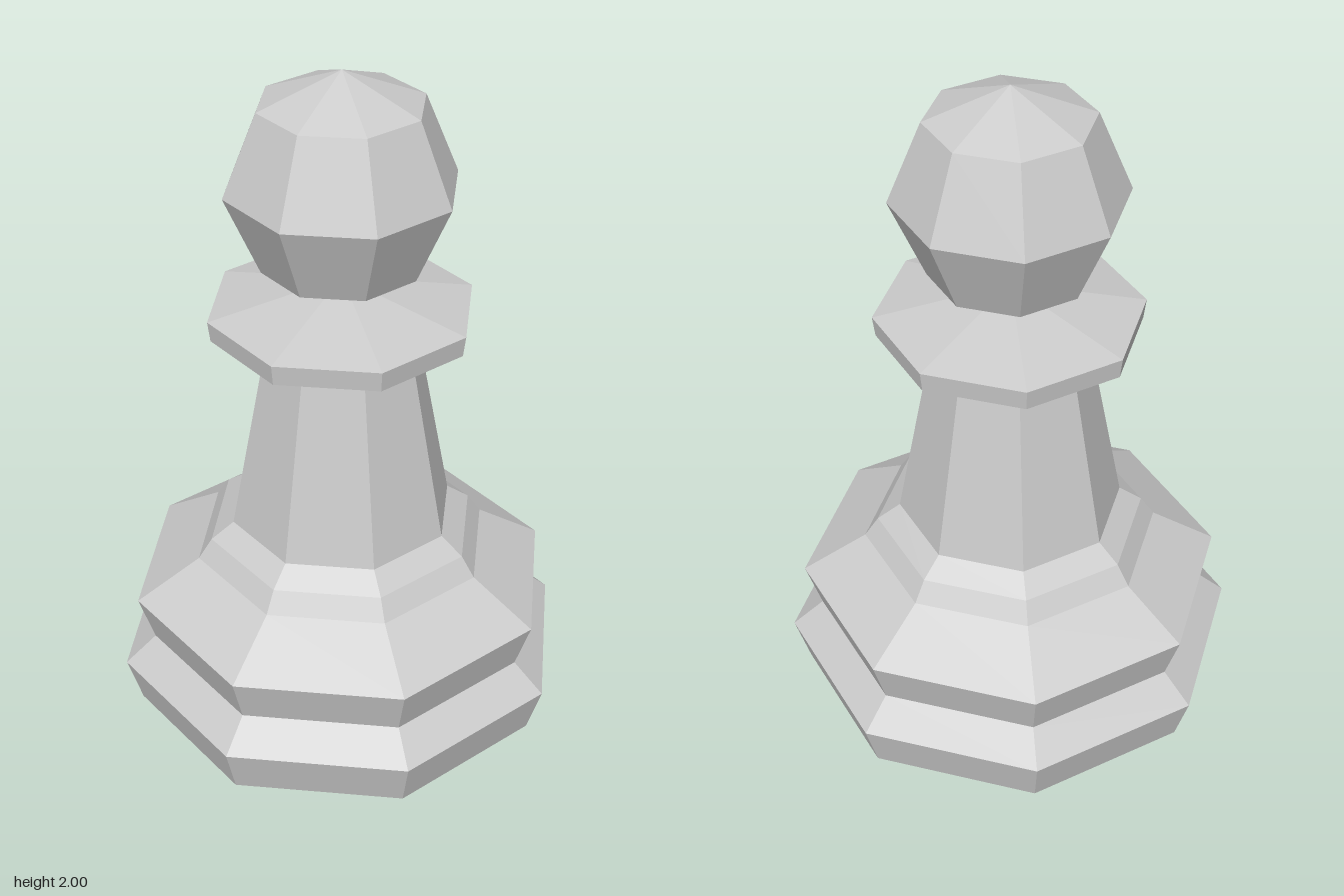
import * as THREE from 'three';

const SIDES = 8;
const material = new THREE.MeshStandardMaterial({ color: 0xcccccc, flatShading: true });

// Octagonal turned part; profile is [distance to flat side, height], bottom to top.
function turned(name, profile) {
  const toCorner = 1 / Math.cos(Math.PI / SIDES);
  const points = profile.map(([r, y]) => new THREE.Vector2(r * toCorner, y));
  const mesh = new THREE.Mesh(new THREE.LatheGeometry(points, SIDES, Math.PI / SIDES), material);
  mesh.name = name;
  return mesh;
}

export function createModel() {
  const pawn = new THREE.Group();
  pawn.name = 'pawn';
  pawn.add(
    // Two flared steps, closed underneath
    turned('base', [[0, 0], [0.592, 0], [0.632, 0.148], [0.545, 0.232], [0.587, 0.377], [0.41, 0.498]]),
    // Small bevelled ring under the shaft
    turned('shaftFoot', [[0.41, 0.498], [0.372, 0.56], [0.309, 0.61]]),
    turned('shaft', [[0.309, 0.61], [0.208, 1.187]]),
    // Thin disc sloping up to the narrow neck
    turned('collar', [[0.208, 1.187], [0.35, 1.241], [0.357, 1.302], [0.07, 1.37]]),
    // Faceted ball with a pointed cap
    turned('head', [[0.07, 1.37], [0.213, 1.435], [0.306, 1.67], [0.216, 1.906], [0, 2]])
  );
  return pawn;
}
